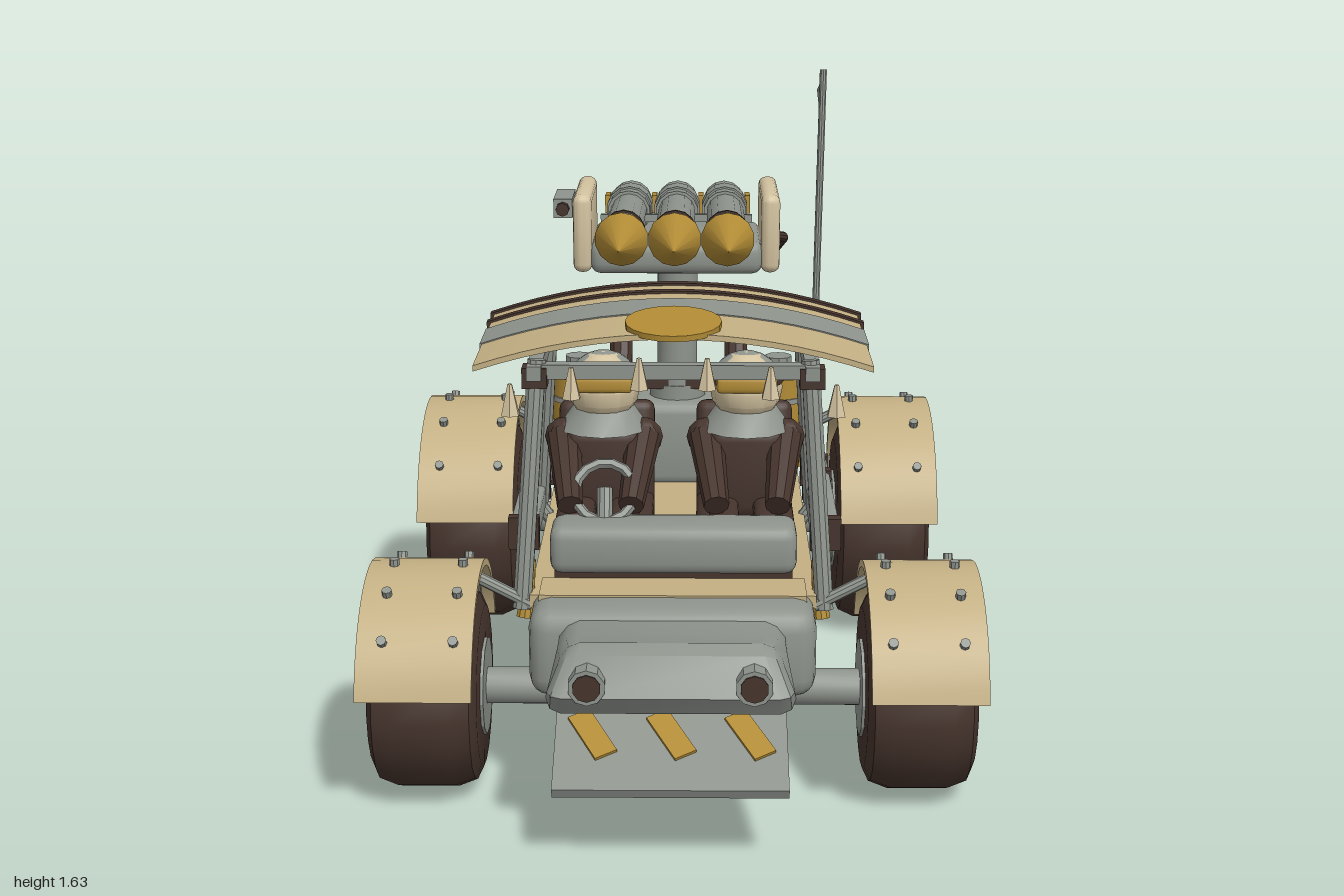
import * as THREE from 'three';
import { toCreasedNormals } from 'three/addons/utils/BufferGeometryUtils.js';
import { RoundedBoxGeometry } from 'three/addons/geometries/RoundedBoxGeometry.js';

const material = (name, color, extra = {}) => Object.assign(new THREE.MeshStandardMaterial({ color, ...extra }), { name });

export function createModel() {
  const model = new THREE.Group();
  model.name = 'rocketBuggy';
  const grey = material('grey metal', 0x8f948d);
  const greyCloth = material('grey cloth', 0x8a8f89, { side: THREE.DoubleSide });
  const tan = material('tan paint', 0xc4b084);
  const cream = material('cream', 0xd3c3a0);
  const dark = material('dark brown', 0x46342d);
  const ochre = material('ochre', 0xb28c36);

  const add = (name, geo, mat, pos = [0, 0, 0], rot = [0, 0, 0], parent = model) => {
    const mesh = new THREE.Mesh(toCreasedNormals(geo, 0.55), mat);
    mesh.name = name;
    mesh.position.set(...pos);
    mesh.rotation.set(...rot);
    parent.add(mesh);
    return mesh;
  };
  const box = (w, h, d) => new THREE.BoxGeometry(w, h, d);
  const soft = (w, h, d, r = 0.02) => new RoundedBoxGeometry(w, h, d, 2, r);
  const cyl = (r, h, n = 14, r2 = r) => new THREE.CylinderGeometry(r2, r, h, n);
  // Round bar between two points
  const rod = (name, a, b, r, mat, parent = model, r2 = r) => {
    const p = new THREE.Vector3(...a), q = new THREE.Vector3(...b);
    const mesh = add(name, cyl(r, p.distanceTo(q), 10, r2), mat, p.clone().lerp(q, 0.5).toArray(), [0, 0, 0], parent);
    mesh.quaternion.setFromUnitVectors(new THREE.Vector3(0, 1, 0), q.sub(p).normalize());
    return mesh;
  };
  // Side profile given as [z, y], extruded across x
  const sideProfile = (pts, width, bevel) => {
    const shape = new THREE.Shape(pts.map(p => new THREE.Vector2(...p)));
    const geo = new THREE.ExtrudeGeometry(shape, { depth: width - 2 * bevel, bevelSize: bevel, bevelThickness: bevel, bevelOffset: -bevel, bevelSegments: 2 });
    return geo.translate(0, 0, bevel - width / 2).rotateY(-Math.PI / 2);
  };

  // Hull and deck
  add('hull', soft(0.68, 0.2, 1.4, 0.04), grey, [0, 0.37, -0.1]);
  add('deck', box(0.69, 0.03, 1.3), tan, [0, 0.475, -0.13]);
  add('cowl', soft(0.68, 0.22, 0.2, 0.05), grey, [0, 0.39, 0.57]);
  add('cowlPlate', box(0.64, 0.02, 0.12), tan, [0, 0.495, 0.5]);

  // Nose, narrower towards the top
  const nose = sideProfile([[0.58, 0.3], [0.76, 0.3], [0.94, 0.37], [0.975, 0.42], [0.92, 0.5], [0.88, 0.515], [0.74, 0.48], [0.58, 0.48]], 0.56, 0.035);
  const np = nose.attributes.position;
  for (let i = 0; i < np.count; i++) np.setX(i, np.getX(i) * (1 - 1.6 * Math.max(0, np.getY(i) - 0.41)));
  add('nose', nose, grey);

  // Sloped skid plate with hazard stripes
  const skid = new THREE.Group();
  skid.name = 'skidPlate';
  skid.position.set(0, 0.255, 0.86);
  skid.rotation.x = 0.42;
  model.add(skid);
  add('plate', box(0.53, 0.025, 0.28), grey, [0, 0, 0], [0, 0, 0], skid);
  for (const x of [-0.18, 0, 0.18]) {
    add('hazardStripe', box(0.055, 0.008, 0.14), ochre, [x, 0.016, -0.02], [0, 0.5, 0], skid);
  }

  // Wheels and mudguards
  const makeWheel = (s, z, y, r, guardR) => {
    const wheel = new THREE.Group();
    wheel.name = z > 0 ? 'frontWheel' : 'rearWheel';
    wheel.position.set(s * 0.59, y, z);
    model.add(wheel);
    const profile = [[0, -0.13], [0.8, -0.13], [0.93, -0.115], [1, -0.07], [1, 0.07], [0.93, 0.115], [0.8, 0.13], [0, 0.13]];
    const side = [0, 0, Math.PI / 2];
    add('tyre', new THREE.LatheGeometry(profile.map(p => new THREE.Vector2(p[0] * r, p[1])), 20), dark, [0, 0, 0], side, wheel);
    add('hub', cyl(r * 0.49, 0.275, 11), grey, [0, 0, 0], side, wheel);
    add('axle', cyl(0.045, 0.3), grey, [-s * 0.22, 0, 0], side, wheel);
    // Arched guard
    const a0 = 0.27, a1 = Math.PI - a0;
    const arch = (ro, ri, w) => {
      const shape = new THREE.Shape();
      shape.absarc(0, 0, ro, a0, a1, false);
      shape.absarc(0, 0, ri, a1, a0, true);
      return new THREE.ExtrudeGeometry(shape, { depth: w, bevelEnabled: false, curveSegments: 10 }).translate(0, 0, -w / 2).rotateY(-Math.PI / 2);
    };
    add('mudguard', arch(guardR, guardR - 0.018, 0.27), tan, [s * 0.005, 0, 0], [0, 0, 0], wheel);
    add('guardTrim', arch(guardR - 0.017, guardR - 0.03, 0.2), grey, [0, 0, 0], [0, 0, 0], wheel);
    for (let i = 0; i < 5; i++) for (const x of [-0.08, 0.085]) {
      const a = 0.72 + i * (Math.PI - 1.44) / 4;
      add('bolt', cyl(0.012, 0.024, 8), grey, [x, Math.sin(a) * (guardR + 0.004), Math.cos(a) * (guardR + 0.004)], [Math.PI / 2 - a, 0, 0], wheel);
    }
    rod('guardBracket', [-s * 0.25, guardR - 0.1, 0], [-s * 0.1, guardR - 0.02, 0], 0.015, grey, wheel);
  };

  for (const s of [-1, 1]) {
    makeWheel(s, 0.505, 0.25, 0.245, 0.31);
    makeWheel(s, -0.65, 0.295, 0.293, 0.36);

    // Headlights
    add('headlightRim', cyl(0.042, 0.06, 10), grey, [s * 0.185, 0.445, 0.945], [Math.PI / 2, 0, 0]);
    add('headlight', cyl(0.032, 0.064, 10), dark, [s * 0.185, 0.445, 0.947], [Math.PI / 2, 0, 0]);

    // Side rails with straps
    add('sideRail', soft(0.07, 0.07, 0.64, 0.012), grey, [s * 0.385, 0.535, -0.13]);
    for (const z of [0.18, -0.23, -0.36]) add('railStrap', box(0.078, 0.085, 0.035), dark, [s * 0.385, 0.533, z]);
    rod('railBracket', [s * 0.33, 0.46, -0.11], [s * 0.38, 0.53, -0.11], 0.018, grey);
    add('hullStrap', box(0.01, 0.17, 0.015), dark, [s * 0.342, 0.37, 0.03]);
    rod('marker', [s * 0.36, 0.42, 0.48], [s * 0.345, 0.56, 0.46], 0.022, ochre, model, 0.012);

    // Canopy posts
    rod('frontPost', [s * 0.365, 0.45, 0.5], [s * 0.325, 1.05, 0.42], 0.023, grey);
    rod('rearPost', [s * 0.365, 0.52, -0.12], [s * 0.325, 1.05, -0.02], 0.023, grey);
    add('roofRail', box(0.035, 0.035, 0.53), grey, [s * 0.33, 1.025, 0.2]);
    for (const z of [-0.03, 0.425]) add('postClamp', box(0.06, 0.05, 0.055), dark, [s * 0.33, 1.01, z]);

    // Seats
    add('seat', soft(0.25, 0.08, 0.25, 0.025), dark, [s * 0.18, 0.55, 0.1]);
    add('seatBack', soft(0.25, 0.29, 0.06, 0.025), dark, [s * 0.18, 0.68, -0.025], [-0.15, 0, 0]);

    // Crew
    const crew = new THREE.Group();
    crew.name = 'crewMember';
    crew.position.set(s * 0.18, 0, 0.14);
    model.add(crew);
    const put = (name, geo, mat, pos, rot) => add(name, geo, mat, pos, rot, crew);
    put('torso', soft(0.2, 0.25, 0.18, 0.04), dark, [0, 0.7, -0.01]);
    put('collar', cyl(0.115, 0.06, 12, 0.075), grey, [0, 0.835, 0]);
    put('head', new THREE.SphereGeometry(0.092, 12, 8), cream, [0, 0.91, 0.005]);
    put('helmet', new THREE.SphereGeometry(0.097, 12, 5, 0, Math.PI * 2, 0, 1.2), grey, [0, 0.905, 0]);
    put('strap', cyl(0.096, 0.022, 12), dark, [0, 0.938, 0.003]);
    put('goggles', soft(0.15, 0.042, 0.05, 0.01), ochre, [0, 0.938, 0.08]);
    for (const t of [-1, 1]) {
      put('shoulder', new THREE.SphereGeometry(0.05, 8, 6), dark, [t * 0.1, 0.78, 0.01]);
      rod('arm', [t * 0.1, 0.78, 0.02], [t * 0.075, 0.665, 0.22], 0.045, dark, crew, 0.032);
      put('leg', soft(0.075, 0.08, 0.22, 0.025), dark, [t * 0.055, 0.6, 0.12]);
    }

    // Fuel drums
    const z = -0.83;
    add('drum', cyl(0.08, 0.28, 16), ochre, [s * 0.3, 0.56, z]);
    for (const y of [0.42, 0.5, 0.62, 0.695]) add('drumBand', cyl(0.085, 0.016, 16), y > 0.6 && y < 0.65 ? grey : ochre, [s * 0.3, y, z]);
    add('drumCap', cyl(0.04, 0.05, 10), grey, [s * 0.3, 0.72, z]);
    add('drumBracket', box(0.06, 0.05, 0.12), grey, [s * 0.27, 0.5, -0.76]);

    // Exhausts
    rod('exhaust', [s * 0.17, 0.67, -0.7], [s * 0.17, 0.88, -0.84], 0.035, dark);
    rod('exhaustCollar', [s * 0.17, 0.66, -0.69], [s * 0.17, 0.72, -0.73], 0.044, grey);
  }

  // Dashboard and steering wheel
  add('dashboard', soft(0.6, 0.12, 0.14, 0.03), grey, [0, 0.58, 0.4]);
  add('dashBase', box(0.58, 0.06, 0.1), dark, [0, 0.505, 0.39]);
  rod('steeringColumn', [-0.17, 0.6, 0.38], [-0.17, 0.7, 0.33], 0.02, grey);
  add('steeringWheel', new THREE.TorusGeometry(0.075, 0.013, 6, 14), grey, [-0.17, 0.69, 0.33], [-0.6, 0, 0]);

  // Arched canopy in bands: [z centre, depth, width, thickness, material]
  const sheet = (w, t, d) => {
    const geo = new THREE.BoxGeometry(w, t, d, 16, 1, 1), p = geo.attributes.position;
    for (let i = 0; i < p.count; i++) p.setY(i, p.getY(i) - 0.078 * (p.getX(i) / 0.47) ** 2);
    return geo;
  };
  for (const [z, d, w, t, m] of [[0.395, 0.21, 0.94, 0.014, tan], [0.21, 0.16, 0.95, 0.02, grey], [0.025, 0.21, 0.94, 0.014, tan],
    [0.05, 0.028, 0.96, 0.026, dark], [-0.045, 0.028, 0.96, 0.026, dark]]) add('canopy', sheet(w, t, d), m, [0, 1.125, z]);
  for (const z of [0.43, -0.03]) add('roofCrossbar', box(0.68, 0.035, 0.035), grey, [0, 1.025, z]);
  add('canopyDisc', cyl(0.115, 0.014, 20), ochre, [0, 1.138, 0.42], [0.09, 0, 0]);
  for (const x of [-0.385, -0.24, -0.08, 0.08, 0.23, 0.385]) {
    add('canopyTassel', cyl(0.024, 0.075, 6, 0.006), cream, [x, 1.075 - 0.45 * x * x - 0.04, 0.485]);
  }

  // Engine block
  add('engine', soft(0.46, 0.24, 0.33, 0.03), grey, [0, 0.6, -0.535]);
  for (let i = 0; i < 4; i++) add('grilleSlat', box(0.32, 0.022, 0.02), dark, [0, 0.55 + i * 0.042, -0.697]);
  for (const s of [-1, 1]) for (let i = 0; i < 5; i++) add('engineValve', cyl(0.018, 0.05, 8), grey, [s * 0.18, 0.73, -0.41 - i * 0.06]);
  add('turretBase', box(0.2, 0.03, 0.18), dark, [0, 0.765, -0.51]);
  add('turretFoot', cyl(0.08, 0.05), grey, [0, 0.735, -0.49]);
  add('turretColumn', cyl(0.056, 0.46, 16), grey, [0, 0.94, -0.47]);

  // Launcher cradle
  add('cradle', soft(0.46, 0.09, 0.34, 0.03), grey, [0, 1.165, -0.38]);
  for (const s of [-1, 1]) {
    add('cradlePlate', soft(0.05, 0.21, 0.34, 0.022), cream, [s * 0.25, 1.23, -0.38]);
    rod('aimingHandle', [s * 0.1, 1.2, -0.53], [s * 0.1, 1.13, -0.75], 0.013, grey);
  }
  rod('leverUpper', [0.25, 1.17, -0.53], [0.3, 1.15, -0.6], 0.015, dark);
  rod('leverLower', [0.3, 1.15, -0.6], [0.27, 1.1, -0.65], 0.015, dark);
  add('scope', box(0.05, 0.05, 0.16), grey, [-0.3, 1.3, -0.29]);
  add('scopeLens', cyl(0.018, 0.03, 8), dark, [-0.3, 1.3, -0.205], [Math.PI / 2, 0, 0]);

  // Three rockets, tilted slightly upwards
  const rockets = new THREE.Group();
  rockets.name = 'rockets';
  rockets.position.set(0, 1.275, -0.2);
  rockets.rotation.x = -0.055;
  model.add(rockets);
  const along = [Math.PI / 2, 0, 0];
  for (const x of [-0.13, 0, 0.13]) {
    const put = (name, r, z0, z1, m, r2 = r) => add(name, cyl(r, z1 - z0, 14, r2), m, [x, 0, (z0 + z1) / 2], along, rockets);
    put('rocketBody', 0.05, -0.35, 0.39, grey);
    put('rocketTail', 0.058, -0.4, -0.14, grey);
    put('rocketSleeve', 0.063, -0.3, -0.2, grey);
    put('rocketRing', 0.055, 0.25, 0.265, dark);
    put('rocketNozzle', 0.036, -0.43, -0.39, ochre, 0.045);
    put('rocketShoulder', 0.055, 0.38, 0.4, ochre, 0.066);
    put('rocketTip', 0.066, 0.4, 0.61, ochre, 0.001);
  }
  add('rocketBrace', box(0.4, 0.02, 0.02), grey, [0, 0, -0.02], [0, 0, 0], rockets);
  for (const x of [-0.195, -0.065, 0.065, 0.195]) add('tailFin', box(0.014, 0.05, 0.08), ochre, [x, 0, -0.36], [0, 0, 0], rockets);

  // Pennant on its mast
  rod('mast', [0.375, 0.55, -0.365], [0.4, 1.63, -0.53], 0.01, grey);
  rod('mastBase', [0.375, 0.55, -0.365], [0.38, 0.76, -0.397], 0.024, grey);
  const flag = new THREE.Shape([new THREE.Vector2(0.525, 1.615), new THREE.Vector2(0.5, 1.435), new THREE.Vector2(0.82, 1.54)]);
  add('pennant', new THREE.ShapeGeometry(flag).rotateY(Math.PI / 2), greyCloth, [0.4, 0, 0]);

  return model;
}
